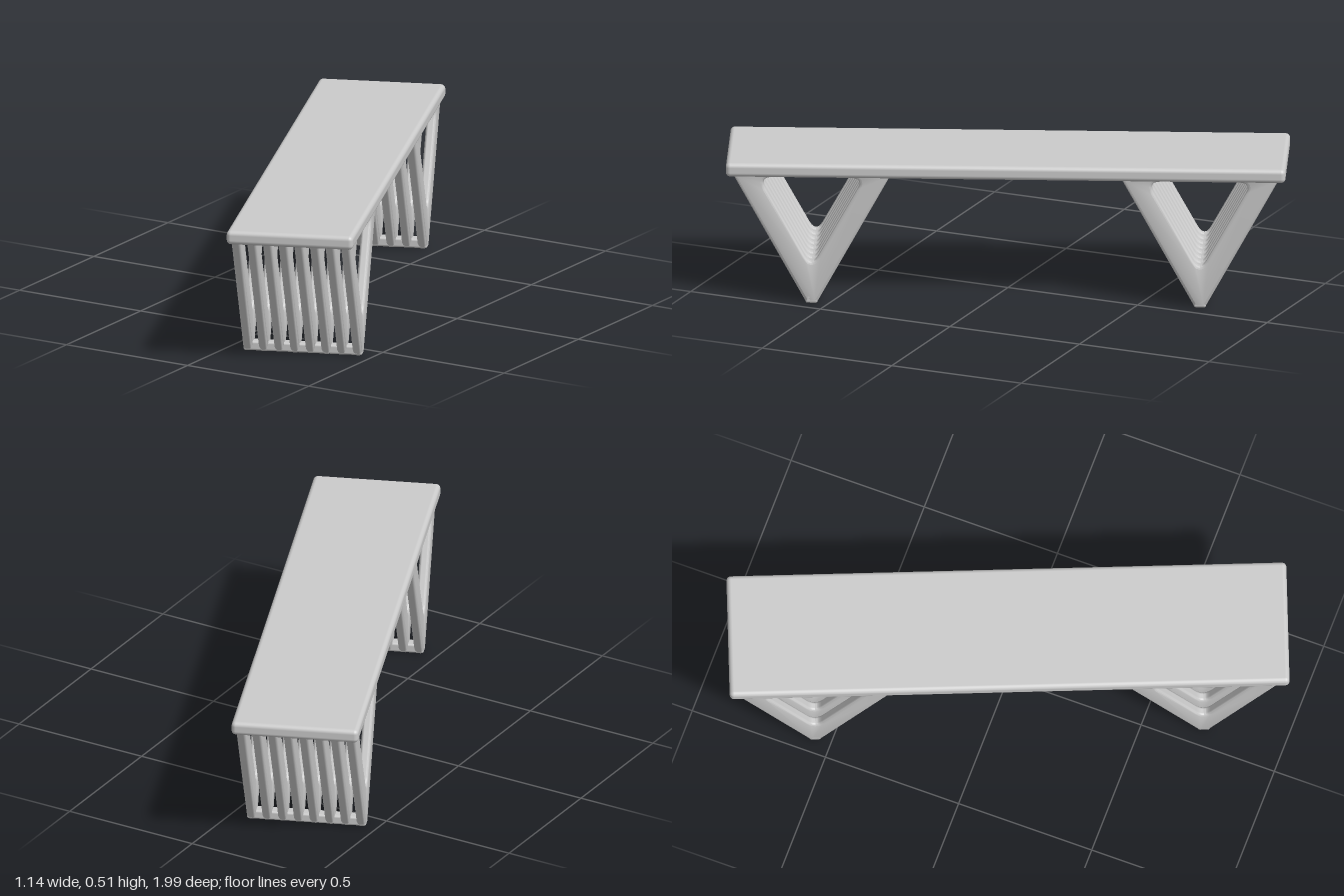
import * as THREE from 'three';
import { RoundedBoxGeometry } from 'three/addons/geometries/RoundedBoxGeometry.js';
import { toCreasedNormals } from 'three/addons/utils/BufferGeometryUtils.js';

const grey = new THREE.MeshStandardMaterial({ color: 0xcccccc });

function part(name, geometry, parent, x = 0, y = 0, z = 0) {
  const mesh = new THREE.Mesh(geometry, grey);
  mesh.name = name;
  mesh.position.set(x, y, z);
  parent.add(mesh);
  return mesh;
}

// Traces a polygon with its corners rounded by a fraction of each edge.
function roundedPath(path, points, amount) {
  const pts = points.map(([x, y]) => new THREE.Vector2(x, y));
  pts.forEach((p, i) => {
    const before = p.clone().lerp(pts[(i + pts.length - 1) % pts.length], amount);
    const after = p.clone().lerp(pts[(i + 1) % pts.length], amount);
    if (i === 0) path.moveTo(before.x, before.y);
    else path.lineTo(before.x, before.y);
    path.quadraticCurveTo(p.x, p.y, after.x, after.y);
  });
  path.closePath();
  return path;
}

// One V-shaped slat with a triangular opening, centred on its thickness.
function slatGeometry(thickness) {
  const shape = new THREE.Shape();
  [[-0.28, 0.48], [-0.272, 0.462], [-0.018, 0], [0.018, 0], [0.272, 0.462], [0.28, 0.48]]
    .forEach(([x, y], i) => (i ? shape.lineTo(x, y) : shape.moveTo(x, y)));
  shape.closePath();
  shape.holes.push(roundedPath(new THREE.Path(), [[-0.185, 0.462], [0.185, 0.462], [0, 0.13]], 0.13));
  const bevel = 0.01;
  const geometry = new THREE.ExtrudeGeometry(shape, {
    depth: thickness - 2 * bevel, bevelThickness: bevel, bevelSize: bevel,
    bevelOffset: -bevel, bevelSegments: 3, curveSegments: 6,
  });
  geometry.translate(0, 0, bevel - thickness / 2);
  geometry.rotateY(Math.PI / 2);
  return toCreasedNormals(geometry, 0.7);
}

export function createModel() {
  const model = new THREE.Group();
  model.name = 'bench';

  // The bench stands turned about the vertical axis
  const bench = new THREE.Group();
  bench.name = 'turnedBench';
  bench.rotation.y = 0.382;
  model.add(bench);

  // Long flat seat
  part('seat', new RoundedBoxGeometry(0.452, 0.05, 1.972, 3, 0.016), bench, 0, 0.49, 0);

  // Two legs, each a row of V slats joined by a foot bar
  const count = 8, width = 0.425, thickness = 0.034;
  const slat = slatGeometry(thickness);
  const foot = new RoundedBoxGeometry(width, 0.034, 0.044, 2, 0.008);
  for (const side of [-1, 1]) {
    const leg = new THREE.Group();
    leg.name = side > 0 ? 'frontLeg' : 'backLeg';
    leg.position.z = side * 0.684;
    bench.add(leg);
    for (let i = 0; i < count; i++) {
      part('legSlat', slat, leg, (i / (count - 1) - 0.5) * (width - thickness));
    }
    part('footBar', foot, leg, 0, 0.017, 0);
  }
  return model;
}
